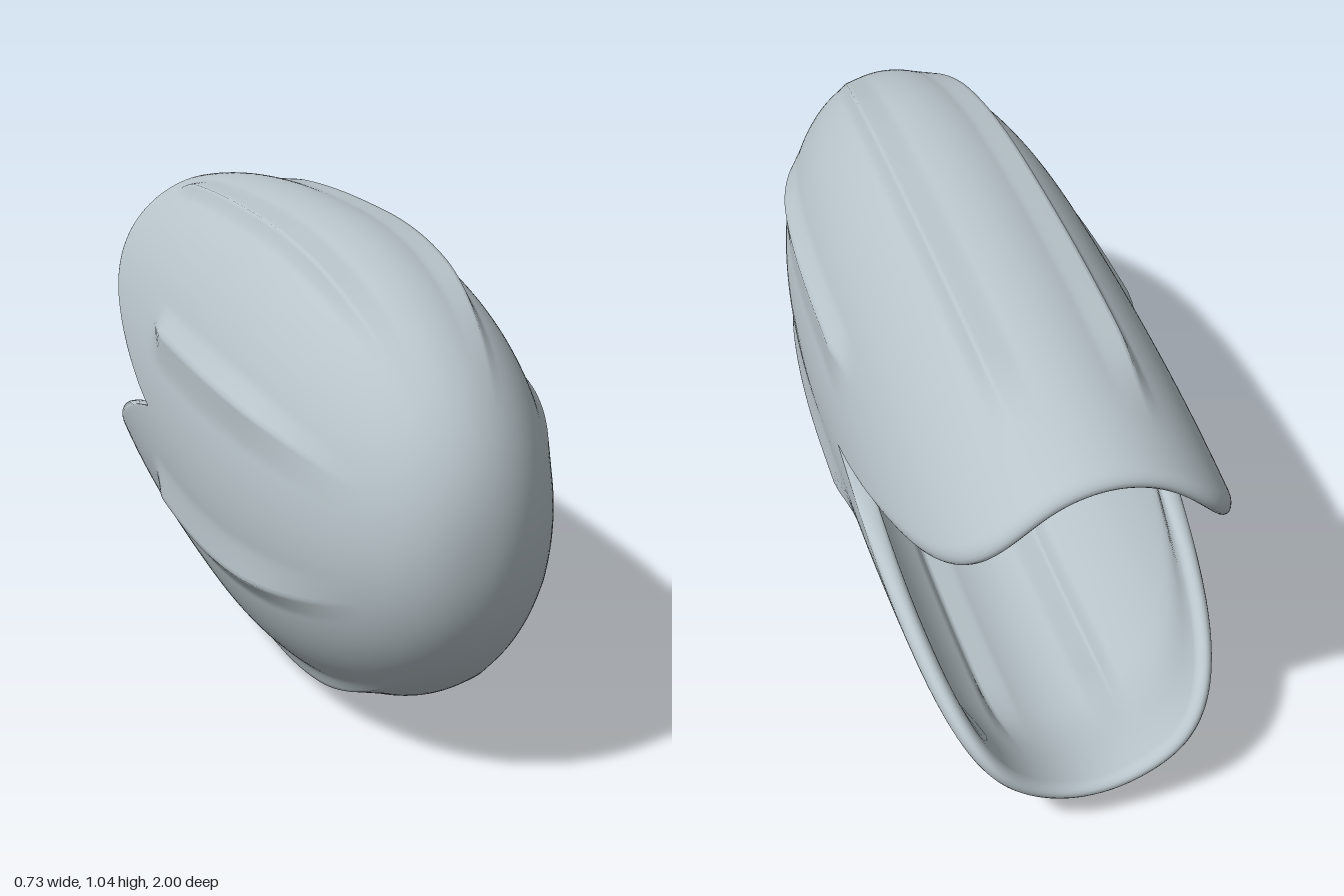
import * as THREE from 'three';
import { mergeVertices } from 'three/addons/utils/BufferGeometryUtils.js';

const A = 0.363, B = 0.521, CENTRE_Y = 0.525;  // cross-section half axes and centre height
const LIP = 0.045, SKIN = 0.014;               // thickness at the back lip and deeper inside
const COLS = 320, OUTER = 72, RIM = 10, INNER = 64;

const smooth = THREE.MathUtils.smoothstep;

// Size of the cross-section along the length: blunt nose, slight taper to the back
function sectionScale(z, taper) {
  return z > 0 ? Math.pow(Math.max(0, 1 - Math.pow(z, 2.3)), 1 / 2.3)
    : 1 - taper * Math.pow(-z, 2.4);
}
const scaleX = (z) => sectionScale(z, 0.09);
const scaleY = (z) => sectionScale(z, 0.155);

// Raised ribs: crest column, widths below and above the crest, and where they fade at the back
const RIBS = [
  { at: 20, below: 0.17, above: 0.12, fade: [-0.28, -0.12] },
  { at: 60, below: 0.10, above: 0.16, fade: [-0.85, -0.6] },
];
function ribHeight(angle, z) {
  const folded = Math.asin(Math.min(1, Math.abs(Math.sin(angle))));
  let sum = 0;
  for (const r of RIBS) {
    const d = folded - r.at * 2 * Math.PI / COLS;
    const k = Math.max(0, 1 - Math.abs(d) / (d < 0 ? r.below : r.above));
    const along = (1 - smooth(z, 0.45, 0.9)) * smooth(z, r.fade[0], r.fade[1]);
    sum += 0.021 * Math.pow(k, 1.4) * along;
  }
  return sum;
}

// Back edge of the shell for one column: a curved V notch on each side
function backEdge(angle) {
  let z = -0.5, h = 0;
  for (let i = 0; i < 30; i++) {
    h = B * scaleY(z) * Math.abs(Math.sin(angle));
    z = -1 + 0.76 * Math.pow(Math.max(0, 1 - h / 0.4), 2.5);
  }
  const slope = 4.75 * Math.pow(Math.max(0, 1 - h / 0.4), 1.5);
  const round = 0.004 + 0.026 * Math.sqrt(1 + slope * slope) * smooth(h, 0, 0.15);
  return { z, round };
}

// Point on the shell at a depth below the outer skin
function shellPoint(angle, z, depth, zOut = z) {
  const c = Math.cos(angle), n = Math.sin(angle), rib = ribHeight(angle, z);
  const nx = c / A, ny = n / B, len = Math.hypot(nx, ny);
  return [
    scaleX(z) * (A - depth) * c + rib * nx / len,
    CENTRE_Y + scaleY(z) * (B - depth) * n + rib * ny / len,
    zOut,
  ];
}

// One column: outer skin from nose to edge, round the lip, inner skin back to the nose
function column(angle) {
  const edge = backEdge(angle);
  const zRim = edge.z + edge.round;
  const zAt = (w) => 1 - (1 - zRim) * (1 - Math.cos(w * Math.PI / 2));
  const points = [];
  for (let j = 0; j <= OUTER; j++) points.push(shellPoint(angle, zAt(j / OUTER), 0));
  for (let j = 1; j < RIM; j++) {
    const f = Math.PI * j / RIM;
    points.push(shellPoint(angle, zRim - edge.round * Math.sin(f), LIP * (1 - Math.cos(f)) / 2));
  }
  for (let j = INNER; j >= 0; j--) {
    const z = zAt(j / INNER);
    const depth = LIP + (SKIN - LIP) * smooth(z, zRim, zRim + 0.25);
    points.push(shellPoint(angle, z, depth, z > 0 ? z * (1 - SKIN) : z));
  }
  return points;
}

function shellGeometry() {
  const positions = [], index = [];
  const rows = OUTER + RIM + INNER + 1;
  for (let i = 0; i < COLS; i++) {
    for (const p of column(i * 2 * Math.PI / COLS)) positions.push(...p);
  }
  for (let i = 0; i < COLS; i++) {
    const a = i * rows, b = ((i + 1) % COLS) * rows;
    for (let j = 0; j < rows - 1; j++) {
      if (j > 0) index.push(a + j, a + j + 1, b + j);
      if (j < rows - 2) index.push(b + j, a + j + 1, b + j + 1);
    }
  }
  let geometry = new THREE.BufferGeometry();
  geometry.setAttribute('position', new THREE.Float32BufferAttribute(positions, 3));
  geometry.setIndex(index);
  geometry = mergeVertices(geometry, 1e-5);   // joins the nose points
  geometry.computeVertexNormals();
  return geometry;
}

export function createModel() {
  const group = new THREE.Group();
  group.name = 'ribbedShell';
  const grey = new THREE.MeshStandardMaterial({ color: 0xb8c4ca });
  grey.name = 'blueGrey';
  const shell = new THREE.Mesh(shellGeometry(), grey);
  shell.name = 'shell';
  group.add(shell);
  return group;
}
